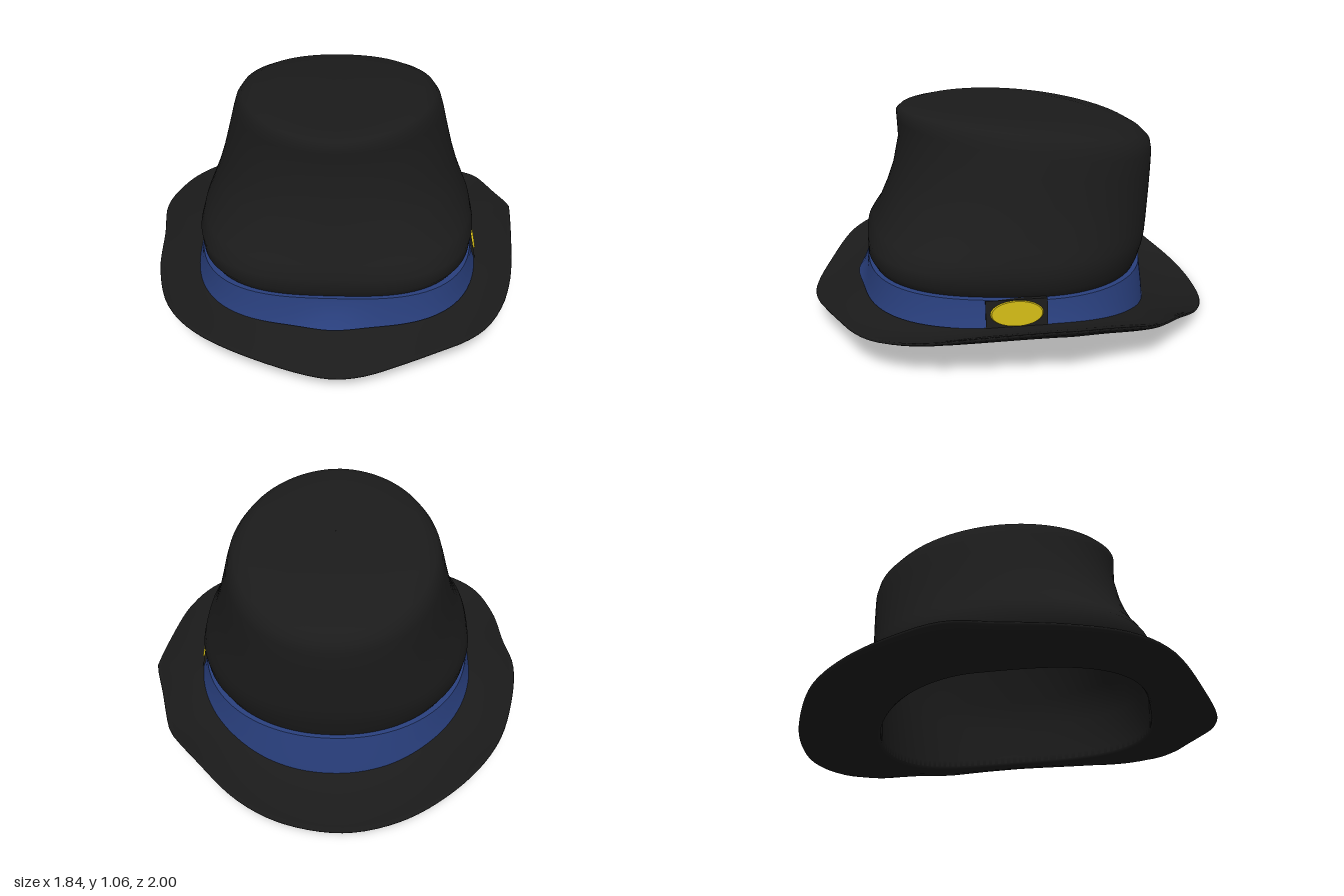
import * as THREE from 'three';

const SEGMENTS = 120;

// Skin a stack of closed rings (each an array of [x, y, z]) with smooth normals.
function loft(rings, material, name) {
  const n = rings[0].length, index = [];
  for (let j = 0; j < rings.length - 1; j++) {
    for (let i = 0; i < n; i++) {
      const a = j * n + i, b = j * n + (i + 1) % n;
      index.push(a, b, b + n, a, b + n, a + n);
    }
  }
  const g = new THREE.BufferGeometry();
  g.setAttribute('position', new THREE.Float32BufferAttribute(rings.flat(2), 3));
  g.setIndex(index);
  g.computeVertexNormals();
  const mesh = new THREE.Mesh(g, material);
  mesh.name = name;
  return mesh;
}

// Egg-shaped outline at angle a (0 = front): half-width w, front and back reach,
// with a squarer front for larger n.
function outline(a, w, zf, zb, n, zc = 0) {
  const s = Math.sin(a), c = Math.cos(a);
  const d = c > 0 ? zf - zc : zc - zb, e = c > 0 ? n : 2.1;
  const r = Math.pow(Math.pow(Math.abs(s) / w, e) + Math.pow(Math.abs(c) / d, e), -1 / e);
  return [r * s, zc + r * c];
}

function ring(w, zf, zb, n, zc, height) {
  return Array.from({ length: SEGMENTS }, (_, i) => {
    const [x, z] = outline((i / SEGMENTS) * Math.PI * 2, w, zf, zb, n, zc);
    return [x, height(z), z];
  });
}

// Height of the seam where crown and brim meet: dips at the back.
const seam = z => z > 0 ? 0.19 + 0.02 * z : 0.19 - 0.29 * z * z;

// Height running from front to back, with an optional arch between.
const tilt = (yf, yb, zf, zb, arch = 0) => z => {
  const u = (z - zb) / (zf - zb);
  return yb + (yf - yb) * u + arch * 4 * u * (1 - u);
};

// Rows: front height, back height, front z, back z, half-width, squareness, centre z, arch.
const sectionRings = rows => rows.map(([yf, yb, zf, zb, w, n, zc, arch]) =>
  ring(w, zf, zb, n, zc, tilt(yf, yb, zf, zb, arch)));

function makeCrown(material) {
  return loft(sectionRings([
    [0.335, 0.27, 0.70, -0.635, 0.642, 3, 0, 0],
    [0.375, 0.31, 0.72, -0.650, 0.668, 3, 0, 0],
    [0.44, 0.38, 0.72, -0.670, 0.678, 2.9, 0, 0],
    [0.50, 0.43, 0.69, -0.680, 0.664, 2.6, -0.01, 0],
    [0.55, 0.48, 0.66, -0.685, 0.642, 2.4, -0.02, 0],
    [0.66, 0.56, 0.615, -0.692, 0.602, 2.15, -0.04, 0],
    [0.76, 0.64, 0.58, -0.698, 0.572, 2, -0.06, 0],
    [0.90, 0.74, 0.55, -0.703, 0.540, 1.93, -0.08, 0],
    [0.99, 0.82, 0.553, -0.705, 0.518, 1.9, -0.1, 0.005],
    [1.03, 0.87, 0.555, -0.695, 0.502, 1.9, -0.1, 0.012],
    [1.048, 0.905, 0.535, -0.66, 0.476, 1.9, -0.1, 0.024],
    [1.055, 0.94, 0.49, -0.60, 0.420, 1.95, -0.1, 0.027],
    [1.053, 0.985, 0.36, -0.44, 0.300, 2, -0.08, 0.013],
    [1.04, 1.015, 0.12, -0.22, 0.120, 2, -0.05, 0.004],
    [1.032, 1.032, -0.049, -0.051, 0.001, 2, -0.05, 0]
  ]), material, 'crown');
}

// Smooth inner shell, open at the bottom.
function makeLining(material) {
  return loft([
    ring(0.63, 0.69, -0.62, 3, 0, z => seam(z) - 0.03),
    ring(0.63, 0.69, -0.62, 3, 0, seam),
    ...sectionRings([
      [0.40, 0.34, 0.685, -0.635, 0.640, 2.9, 0, 0],
      [0.55, 0.48, 0.63, -0.660, 0.615, 2.4, -0.02, 0],
      [0.76, 0.64, 0.555, -0.673, 0.547, 2, -0.06, 0],
      [0.95, 0.79, 0.53, -0.68, 0.505, 1.9, -0.1, 0],
      [1.02, 0.87, 0.50, -0.64, 0.460, 1.9, -0.1, 0.02],
      [1.03, 0.95, 0.36, -0.46, 0.300, 2, -0.08, 0.015],
      [1.01, 1.01, -0.049, -0.051, 0.001, 2, -0.05, 0]
    ])
  ], material, 'lining');
}

function makeBand(material) {
  const top = tilt(0.337, 0.27, 0.72, -0.66);
  // The lower edge flares and comes to a soft point at the centre front.
  const foot = ring(0.705, 0.75, -0.685, 2.9, -0.01, z => seam(z) - 0.008)
    .map(([x, y, z]) => [x, y, z > 0 ? z + 0.028 * Math.exp(-x * x / 0.02) : z]);
  const lip = ring(0.673, 0.72, -0.657, 3, 0, top);
  return loft([
    foot,
    ring(0.685, 0.732, -0.675, 2.95, 0, z => seam(z) * 0.6 + top(z) * 0.4),
    lip,
    lip,
    ring(0.642, 0.70, -0.635, 3, 0, top)
  ], material, 'hatBand');
}

function makeBrim(material) {
  // Outer edge, from the front round by the left side.
  const edge = [
    [0, 0.12, 0.997], [0.15, 0.125, 0.98], [0.30, 0.143, 0.93], [0.48, 0.163, 0.855],
    [0.62, 0.173, 0.785], [0.72, 0.182, 0.70], [0.80, 0.197, 0.57], [0.845, 0.213, 0.44],
    [0.87, 0.23, 0.32], [0.90, 0.255, 0.05],
    [0.915, 0.265, -0.13], [0.917, 0.265, -0.17], [0.86, 0.238, -0.34], [0.79, 0.2, -0.55],
    [0.77, 0.193, -0.585], [0.64, 0.157, -0.71], [0.43, 0.08, -0.875], [0.22, 0.037, -0.965],
    [-0.05, 0.02, -1], [-0.25, 0.038, -0.975], [-0.44, 0.075, -0.905], [-0.66, 0.152, -0.76],
    [-0.81, 0.195, -0.56], [-0.89, 0.24, -0.32], [-0.92, 0.27, -0.09], [-0.89, 0.26, 0.13],
    [-0.86, 0.237, 0.41], [-0.77, 0.218, 0.66], [-0.61, 0.197, 0.815], [-0.26, 0.142, 0.945]
  ].map(p => new THREE.Vector3(...p));
  const curve = new THREE.CatmullRomCurve3(edge, true, 'centripetal');
  const rim = Array.from({ length: SEGMENTS }, (_, i) => curve.getPointAt(i / SEGMENTS));

  // One ring at fraction t between the seam and the edge, lowered by drop.
  const brimRing = (t, drop) => rim.map(p => {
    const [x, z] = outline(Math.atan2(p.x, p.z), 0.63, 0.69, -0.62, 3);
    const back = Math.min(p.z, 0);
    const sag = Math.sin(Math.PI * t) * (0.03 * p.x * p.x + 0.02 * back * back);
    const y = THREE.MathUtils.lerp(seam(z), p.y, t) - sag - drop;
    return [THREE.MathUtils.lerp(x, p.x, t), y, THREE.MathUtils.lerp(z, p.z, t)];
  });
  return loft([
    brimRing(0, 0), brimRing(0, 0.03), brimRing(0.04, 0.04), brimRing(0.25, 0.042),
    brimRing(0.5, 0.036), brimRing(0.75, 0.03), brimRing(0.93, 0.02), brimRing(0.99, 0.013),
    brimRing(1, 0.006), brimRing(0.99, 0), brimRing(0.93, 0), brimRing(0.75, 0),
    brimRing(0.5, 0), brimRing(0.25, 0), brimRing(0, 0)
  ], material, 'brim');
}

// Oval metal badge on a dark backing, on the left side of the band.
function makeBadge(dark, gold) {
  const badge = new THREE.Group();
  badge.name = 'badge';
  const backing = new THREE.Mesh(new THREE.BoxGeometry(0.035, 0.125, 0.28), dark);
  backing.name = 'badgeBacking';
  const g = new THREE.CylinderGeometry(0.94, 1, 0.012, 40);
  g.rotateZ(-Math.PI / 2);
  g.scale(1, 0.06, 0.122);
  const oval = new THREE.Mesh(g, gold);
  oval.position.x = 0.021;
  oval.name = 'badgeOval';
  badge.add(backing, oval);
  badge.position.set(0.674, 0.246, 0.058);
  badge.rotation.z = 0.2;
  return badge;
}

export function createModel() {
  const felt = new THREE.MeshStandardMaterial({ color: 0x1b1b1b, side: THREE.DoubleSide });
  felt.name = 'blackFelt';
  const ribbon = new THREE.MeshStandardMaterial({ color: 0x293f7d, side: THREE.DoubleSide });
  ribbon.name = 'blueRibbon';
  const gold = new THREE.MeshStandardMaterial({ color: 0xc8b214 });
  gold.name = 'yellowMetal';

  const hat = new THREE.Group();
  hat.name = 'hat';
  hat.add(makeCrown(felt), makeLining(felt), makeBand(ribbon), makeBrim(felt), makeBadge(felt, gold));
  return hat;
}
